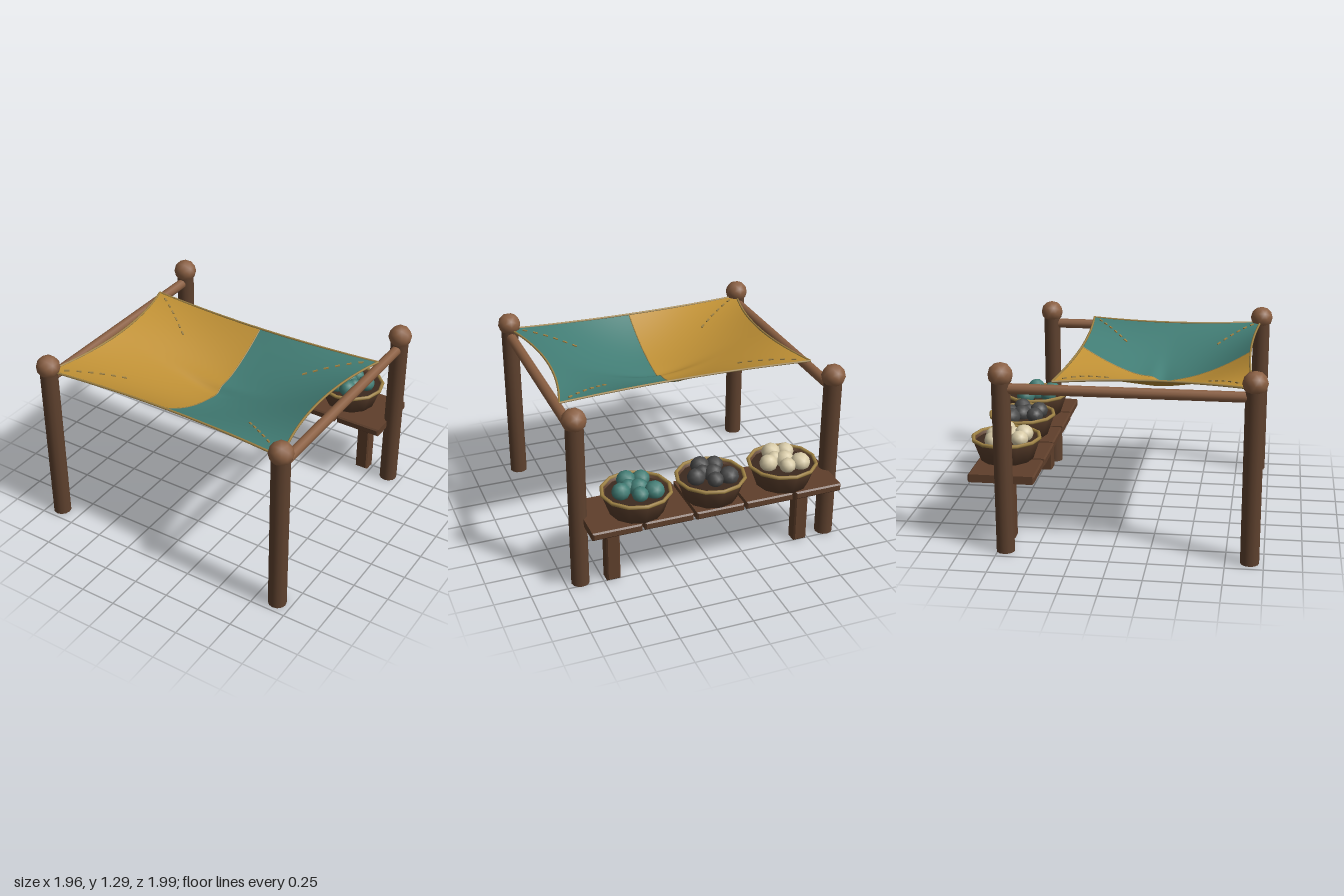
import * as THREE from 'three';

const mat = (name, color) => {
  const m = new THREE.MeshStandardMaterial({ color });
  m.name = name;
  return m;
};

export function createModel() {
  const root = new THREE.Group();
  root.name = 'marketStall';

  const darkWood = mat('dark wood', 0x5e412e);
  const lightWood = mat('light wood', 0x8a5f42);
  const plankWood = mat('plank wood', 0x5f3f2b);
  const basketInside = mat('basket inside', 0x3d2a1f);
  const trim = mat('straw trim', 0xa08345);
  const ochre = mat('ochre cloth', 0xbf9035);
  const teal = mat('teal', 0x427d75);
  const cream = mat('cream', 0xd8cba8);
  const charcoal = mat('charcoal', 0x474747);
  ochre.side = teal.side = THREE.DoubleSide;

  const add = (name, geometry, material, x = 0, y = 0, z = 0, parent = root) => {
    const mesh = new THREE.Mesh(geometry, material);
    mesh.name = name;
    mesh.position.set(x, y, z);
    parent.add(mesh);
    return mesh;
  };

  // Box with chamfered edges, centred on its origin
  const bevelBox = (w, h, d, b = 0.01) => {
    const x = w / 2 - b, y = h / 2 - b;
    const shape = new THREE.Shape([[-x, -y], [x, -y], [x, y], [-x, y]].map(p => new THREE.Vector2(...p)));
    const g = new THREE.ExtrudeGeometry(shape, {
      depth: d - 2 * b, bevelEnabled: true, bevelSize: b, bevelThickness: b, bevelSegments: 1,
    });
    return g.translate(0, 0, b - d / 2);
  };

  // Posts with round caps, and the side rails
  const FRONT = 0.91, BACK = -0.7;
  for (const s of [-1, 1]) {
    for (const z of [FRONT, BACK]) {
      add('post', new THREE.CylinderGeometry(0.062, 0.062, 1.19, 12), darkWood, s * 0.9, 0.595, z);
      add('postCap', new THREE.IcosahedronGeometry(0.082, 1), lightWood, s * 0.9, 1.21, z);
    }
    const rail = new THREE.CylinderGeometry(0.036, 0.036, FRONT - BACK, 10).rotateX(Math.PI / 2);
    add('sideRail', rail, lightWood, s * 0.9, 1.12, (FRONT + BACK) / 2);
  }

  // Sagging cloth: u and v run from -1 to 1 across and along it
  const cloth = (u, v) => {
    const x = u * (0.9 - 0.1 * (1 - v * v));
    const z = 0.267 + v * (0.637 - 0.05 * (1 - u * u));
    const sag = 0.225 * (1 - Math.abs(u) ** 1.6) * (1 - Math.abs(v) ** 1.7);
    const k = (v + 0.1) / 0.05;
    const crease = 0.018 * Math.tanh(k) * Math.exp(-((k / 3) ** 2) - (u / 0.3) ** 2);
    return new THREE.Vector3(x, 1.175 - sag - crease, z);
  };
  const canopy = new THREE.Group();
  canopy.name = 'canopy';
  root.add(canopy);
  for (const s of [-1, 1]) {
    const g = new THREE.PlaneGeometry(1, 2, 20, 56).rotateX(-Math.PI / 2).translate(s * 0.5, 0, 0);
    const p = g.attributes.position;
    for (let i = 0; i < p.count; i++) {
      const q = cloth(p.getX(i), p.getZ(i));
      p.setXYZ(i, q.x, q.y, q.z);
    }
    g.computeVertexNormals();
    add(s < 0 ? 'ochreCloth' : 'tealCloth', g, s < 0 ? ochre : teal, 0, 0, 0, canopy);
  }

  // Hem cords round the cloth and along the middle seam
  const cord = (name, at, radius) => {
    const pts = Array.from({ length: 41 }, (_, i) => at(i / 20 - 1));
    add(name, new THREE.TubeGeometry(new THREE.CatmullRomCurve3(pts), 40, radius, 6), trim, 0, 0, 0, canopy);
  };
  for (const s of [-1, 1]) {
    cord('sideHem', t => cloth(s, t), 0.008);
    cord('endHem', t => cloth(t, s), 0.008);
  }
  cord('middleSeam', t => cloth(0, t), 0.004);

  // Dashed stitching running in from each corner
  for (const su of [-1, 1]) for (const sv of [-1, 1]) {
    for (let i = 0; i < 6; i++) {
      const at = t => cloth(su * (0.91 - 0.31 * t), sv * (0.91 - 0.34 * t));
      const p = at(i / 5);
      const stitch = add('stitch', new THREE.BoxGeometry(0.012, 0.009, 0.034), trim, p.x, p.y + 0.003, p.z, canopy);
      stitch.lookAt(at(i / 5 + 0.05).add(new THREE.Vector3(0, 0.003, 0)));
    }
  }

  // Bench of five cross planks on two legs
  for (let i = -2; i <= 2; i++) {
    add('plank', bevelBox(0.335, 0.055, 0.445), plankWood, i * 0.355, 0.49, -0.727 + (i % 2 ? 0.005 : 0));
  }
  for (const s of [-1, 1]) {
    add('benchLeg', bevelBox(0.095, 0.46, 0.095), plankWood, s * 0.685, 0.235, -0.72);
  }

  // Baskets of goods: x, z and radius of each lump
  const lumps = [
    [-0.105, -0.06, 0.068], [0, -0.085, 0.055], [0.11, -0.02, 0.062], [-0.02, 0.005, 0.066],
    [-0.07, 0.105, 0.06], [0.03, 0.115, 0.065], [0.04, 0.04, 0.055],
  ];
  const profile = [[0, 0], [0.18, 0], [0.232, 0.145], [0.215, 0.145], [0.205, 0.115]]
    .map(p => new THREE.Vector2(...p));
  [[-0.52, cream], [0, charcoal], [0.52, teal]].forEach(([x, goods]) => {
    const basket = new THREE.Group();
    basket.name = 'basket';
    basket.position.set(x, 0.517, -0.76);
    root.add(basket);
    add('basketBody', new THREE.LatheGeometry(profile, 12), darkWood, 0, 0, 0, basket);
    const rim = new THREE.TorusGeometry(0.229, 0.013, 6, 12).rotateX(Math.PI / 2);
    add('basketRim', rim, trim, 0, 0.148, 0, basket);
    add('basketFill', new THREE.CylinderGeometry(0.218, 0.205, 0.02, 12), basketInside, 0, 0.118, 0, basket);
    lumps.forEach(([lx, lz, r], i) => {
      const lump = add('goods', new THREE.IcosahedronGeometry(r, 1), goods, lx, 0.155 + (i % 3) * 0.006, lz, basket);
      lump.scale.y = 0.95;
      lump.rotation.y = i * 1.3;
    });
  });

  return root;
}
